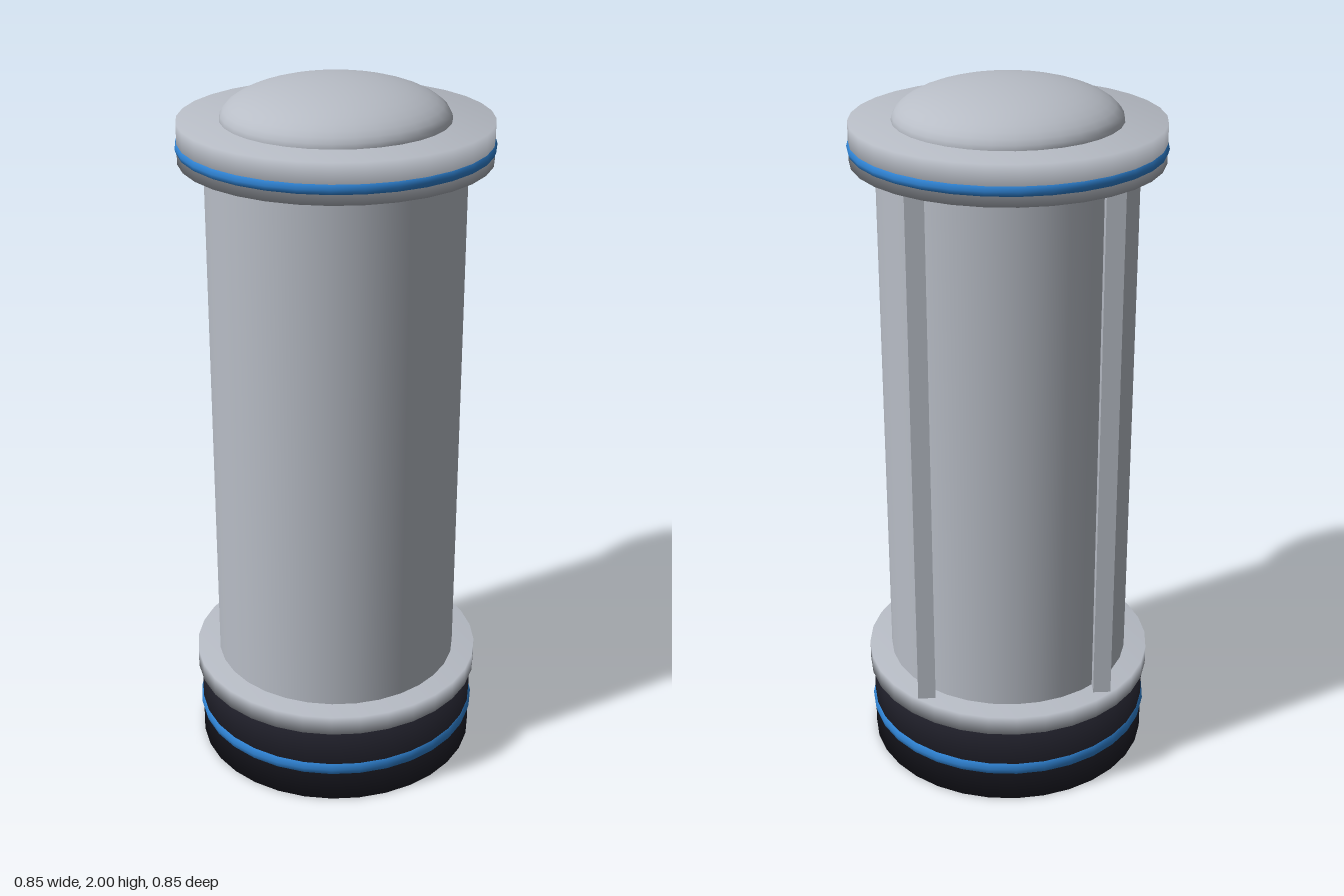
import * as THREE from 'three';

const SIDES = 32;

function material(name, color) {
  const m = new THREE.MeshStandardMaterial({ color });
  m.name = name;
  return m;
}

export function createModel() {
  const model = new THREE.Group();
  model.name = 'column';
  const silver = material('silver', 0xb8bdc6);
  const dark = material('charcoal', 0x1e1e28);
  const blue = material('blue', 0x2f82d2);

  function add(name, geometry, mat, x = 0, y = 0, z = 0) {
    const mesh = new THREE.Mesh(geometry, mat);
    mesh.name = name;
    mesh.position.set(x, y, z);
    model.add(mesh);
    return mesh;
  }

  // Smoothly shaded disc between two heights
  function disc(name, radius, y0, y1, mat) {
    const profile = [[0, y0], [radius, y0], [radius, y1], [0, y1]]
      .map(([r, y]) => new THREE.Vector2(r, y));
    return add(name, new THREE.LatheGeometry(profile, SIDES), mat);
  }

  // Slim glowing band around a disc
  function band(name, radius, y, half) {
    const ring = add(name, new THREE.TorusGeometry(radius, 0.012, 8, SIDES), blue, 0, y, 0);
    ring.rotation.x = Math.PI / 2;
    ring.scale.z = half / 0.012;
    return ring;
  }

  // Base and its collar
  disc('base', 0.408, 0, 0.235, dark);
  band('baseBand', 0.402, 0.105, 0.022);
  disc('lowerCollar', 0.418, 0.233, 0.29, silver);

  // Main shaft
  add('shaft', new THREE.CylinderGeometry(0.352, 0.352, 1.51, SIDES, 1, true), silver, 0, 1.04, 0);

  // Two rails on the back
  for (const side of [-1, 1]) {
    add(side > 0 ? 'leftRail' : 'rightRail',
      new THREE.BoxGeometry(0.05, 1.52, 0.059), silver, side * 0.252, 1.04, -0.278);
  }

  // Cap, its band and the shallow dome
  disc('upperCollar', 0.42, 1.79, 1.897, silver);
  band('capBand', 0.413, 1.83, 0.017);
  const dome = add('dome',
    new THREE.SphereGeometry(0.307, SIDES, 12, 0, Math.PI * 2, 0, Math.PI / 2), silver, 0, 1.896, 0);
  dome.scale.y = 0.104 / 0.307;

  return model;
}
